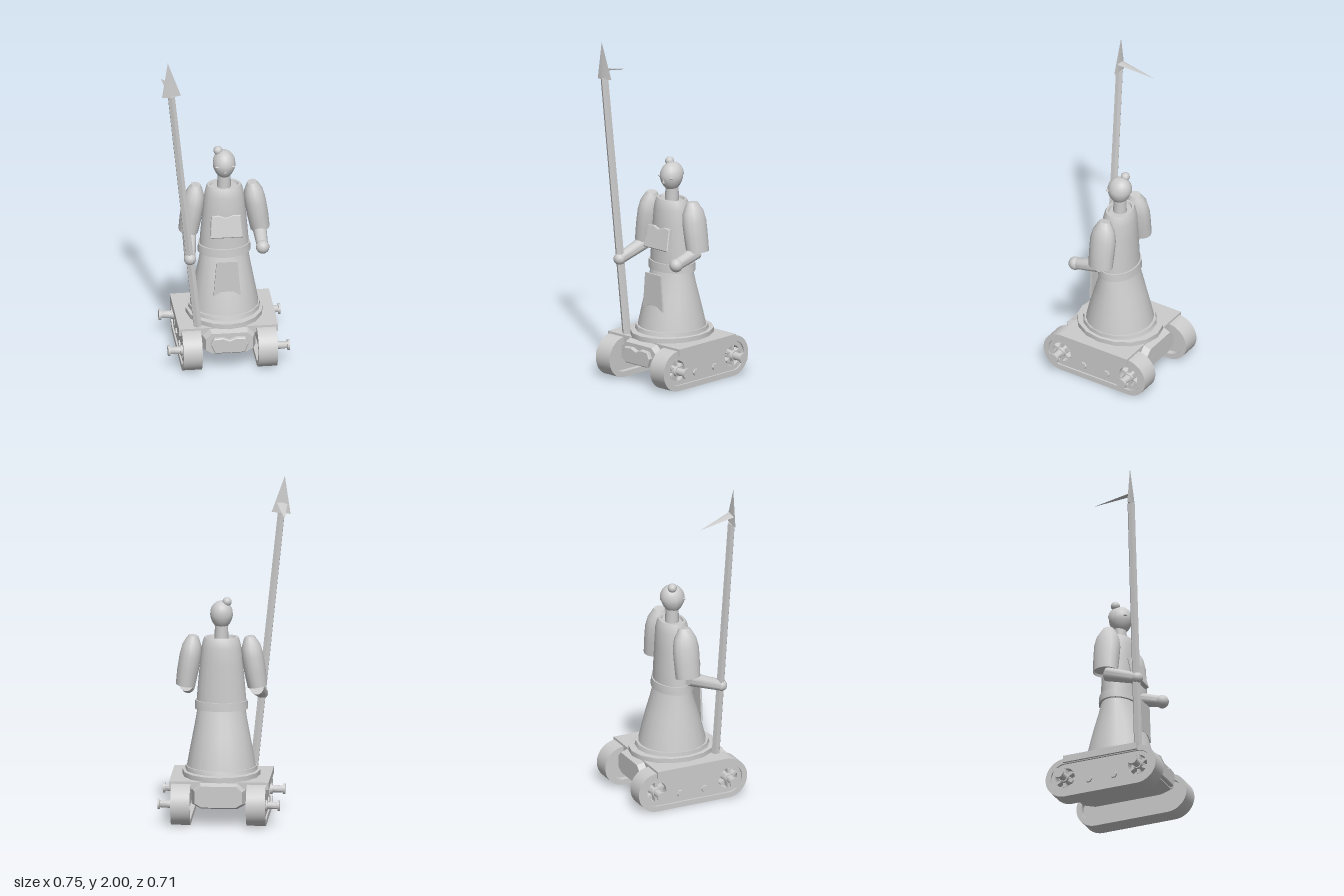
import * as THREE from 'three';
import { toCreasedNormals } from 'three/addons/utils/BufferGeometryUtils.js';

const V = (x, y, z) => new THREE.Vector3(x, y, z);

export function createModel() {
  const model = new THREE.Group();
  const stone = new THREE.MeshStandardMaterial({ color: 0xcccccc });
  stone.name = 'pale grey';

  const add = (parent, name, geo, x = 0, y = 0, z = 0) => {
    const m = new THREE.Mesh(geo, stone);
    m.name = name;
    m.position.set(x, y, z);
    parent.add(m);
    return m;
  };

  // elliptical body from rings of [y, half width, half depth]
  const loft = (rings, n = 20) => {
    const g = new THREE.LatheGeometry(rings.map(r => new THREE.Vector2(r[1], r[0])), n);
    const p = g.attributes.position;
    for (let i = 0; i < p.count; i++) {
      const r = rings[i % rings.length];
      if (r[1] > 0) p.setZ(i, p.getZ(i) * r[2] / r[1]);
    }
    return toCreasedNormals(g, 0.6);
  };

  // tapered rod between two points, optionally flattened
  const rod = (parent, name, a, b, r0, r1, n = 16, flatX = 1, flatZ = 1) => {
    const g = new THREE.CylinderGeometry(r1, r0, a.distanceTo(b), n);
    g.scale(flatX, 1, flatZ);
    const m = add(parent, name, toCreasedNormals(g, 0.8));
    m.position.copy(a).lerp(b, 0.5);
    m.quaternion.setFromUnitVectors(V(0, 1, 0), b.clone().sub(a).normalize());
    return m;
  };

  const plate = (pts, depth, bevel = 0) => new THREE.ExtrudeGeometry(
    new THREE.Shape(pts.map(p => new THREE.Vector2(...p))),
    { depth, bevelEnabled: bevel > 0, bevelSize: bevel, bevelThickness: bevel, bevelSegments: 1 });

  const stadium = (half, r, T = THREE.Shape) => {
    const s = new T();
    s.absarc(half, 0, r, -Math.PI / 2, Math.PI / 2);
    s.absarc(-half, 0, r, Math.PI / 2, Math.PI * 1.5);
    s.closePath();
    return s;
  };
  const extrudeX = (shape, depth) => {
    const g = new THREE.ExtrudeGeometry(shape, { depth, bevelEnabled: false, curveSegments: 16 });
    g.translate(0, 0, -depth / 2).rotateY(Math.PI / 2);
    return toCreasedNormals(g, 0.6);
  };

  // everything but the spear is symmetric about this group's centre
  const body = new THREE.Group();
  body.name = 'figureAndCarriage';
  body.position.x = 0.03;
  model.add(body);

  // tracks
  const R = 0.122, reach = 0.232;
  for (const s of [1, -1]) {
    const track = new THREE.Group();
    track.name = s > 0 ? 'leftTrack' : 'rightTrack';
    track.position.set(s * 0.222, R, 0);
    body.add(track);
    const belt = stadium(reach, R);
    belt.holes.push(stadium(reach, R - 0.033, THREE.Path));
    add(track, 'belt', extrudeX(belt, 0.113));
    const panel = stadium(reach, R - 0.034);
    for (const z of [-reach, reach]) {
      const hole = new THREE.Path();
      hole.absarc(z, 0, 0.062, 0, Math.PI * 2);
      panel.holes.push(hole);
    }
    add(track, 'sidePanel', extrudeX(panel, 0.05), s * 0.022);
    add(track, 'backPanel', extrudeX(stadium(reach, R - 0.034), 0.03), -s * 0.012);
    for (const z of [-0.237, 0.237]) {
      // spoked wheel with a spool shaped axle end
      for (let i = 0; i < 3; i++) {
        const spoke = add(track, 'spoke', new THREE.BoxGeometry(0.04, 0.12, 0.016), s * 0.028, 0, z);
        spoke.rotation.x = i * Math.PI / 3;
      }
      rod(track, 'hub', V(s * 0.01, 0, z), V(s * 0.064, 0, z), 0.036, 0.03, 12);
      rod(track, 'axle', V(s * 0.06, 0, z), V(s * 0.126, 0, z), 0.024, 0.02, 12);
      rod(track, 'axleCap', V(s * 0.124, 0, z), V(s * 0.137, 0, z), 0.032, 0.032, 12);
    }
    for (const z of [-0.08, 0.08])
      rod(track, 'rollerBolt', V(s * 0.04, -0.037, z), V(s * 0.056, -0.037, z), 0.024, 0.02, 6);
  }

  // hull with chamfered ends
  const hull = plate([[-0.14, 0.135], [-0.1, 0.112], [0.1, 0.112], [0.14, 0.135],
    [0.14, 0.205], [0.105, 0.238], [-0.105, 0.238], [-0.14, 0.205]], 0.41);
  const hp = hull.attributes.position;
  hull.dispose();
  const hullGeo = new THREE.ExtrudeGeometry(new THREE.Shape([[-0.14, 0.135], [-0.1, 0.112], [0.1, 0.112],
    [0.14, 0.135], [0.14, 0.205], [0.105, 0.238], [-0.105, 0.238], [-0.14, 0.205]].map(p => new THREE.Vector2(...p))),
  { depth: 0.41, bevelThickness: 0.077, bevelSize: 0.022, bevelSegments: 1 });
  add(body, 'hull', hullGeo, 0, 0, -0.205);
  add(body, 'deck', new THREE.BoxGeometry(0.585, 0.042, 0.474), 0, 0.236, 0);
  add(body, 'frontPlaque', plate([[-0.085, 0.125], [0.085, 0.125], [0.105, 0.175], [0.09, 0.208],
    [0.04, 0.212], [0, 0.195], [-0.04, 0.212], [-0.09, 0.208], [-0.105, 0.175]], 0.02, 0.006), 0, 0, 0.28);

  // robe
  add(body, 'pedestal', loft([[0.255, 0, 0], [0.255, 0.228, 0.263], [0.285, 0.228, 0.263],
    [0.288, 0.212, 0.222], [0.312, 0.21, 0.215], [0.312, 0, 0]], 16));
  add(body, 'skirt', loft([[0.285, 0.207, 0.205], [0.31, 0.203, 0.2], [0.4, 0.187, 0.178],
    [0.5, 0.168, 0.15], [0.58, 0.153, 0.124], [0.66, 0.14, 0.102]]));
  add(body, 'belt', loft([[0.652, 0.13, 0.09], [0.652, 0.157, 0.118], [0.702, 0.154, 0.114], [0.702, 0.13, 0.09]]));
  add(body, 'torso', loft([[0.69, 0.147, 0.106], [0.8, 0.138, 0.102], [0.92, 0.127, 0.098], [1.02, 0.117, 0.094],
    [1.06, 0.108, 0.085], [1.08, 0.1, 0.075], [1.08, 0.086, 0.062], [1.066, 0.08, 0.057], [1.066, 0, 0]]));
  add(body, 'apron', plate([[-0.08, 0.425], [-0.035, 0.452], [0.035, 0.452], [0.08, 0.425],
    [0.062, 0.645], [-0.062, 0.645]], 0.012), 0, 0, 0.151);
  const chest = add(body, 'chestPlate', plate([[-0.093, -0.062], [0.093, -0.062], [0.082, 0.062], [0.045, 0.066],
    [0, 0.05], [-0.045, 0.066], [-0.082, 0.062]], 0.018, 0.005), 0, 0.852, 0.105);
  chest.rotation.x = -0.24;

  // arms
  for (const s of [1, -1]) {
    const sleeve = add(body, s > 0 ? 'leftSleeve' : 'rightSleeve', loft([[-0.135, 0, 0], [-0.135, 0.05, 0.07],
      [-0.15, 0.058, 0.076], [-0.06, 0.064, 0.079], [0.03, 0.064, 0.08], [0.09, 0.057, 0.068],
      [0.125, 0.042, 0.048], [0.15, 0.028, 0.034], [0.15, 0, 0]], 14), s * 0.188, 0.937, 0);
    sleeve.rotation.z = s * 0.158;
    const elbow = V(s * 0.207, s > 0 ? 0.79 : 0.775, 0.01);
    const hand = s > 0 ? V(0.208, 0.742, 0.178) : V(-0.225, 0.703, 0.21);
    rod(body, 'forearm', elbow, hand, 0.042, 0.033, 14);
    add(body, 'hand', new THREE.SphereGeometry(s > 0 ? 0.04 : 0.036, 16, 12), hand.x, hand.y, hand.z);
  }

  // head with a narrower chin
  rod(body, 'neck', V(0, 1.05, 0), V(0, 1.15, 0), 0.041, 0.039, 16);
  const skull = new THREE.SphereGeometry(1, 24, 18);
  const sp = skull.attributes.position;
  for (let i = 0; i < sp.count; i++) {
    const k = 1 - 0.16 * Math.max(0, -sp.getY(i));
    sp.setXYZ(i, sp.getX(i) * k * 0.067, sp.getY(i) * 0.085, sp.getZ(i) * k * 0.071);
  }
  skull.computeVertexNormals();
  add(body, 'head', skull, 0, 1.21, 0.005);
  const hair = new THREE.SphereGeometry(1, 24, 10, 0, Math.PI * 2, 0, 1.25);
  hair.scale(0.069, 0.085, 0.073);
  add(body, 'hair', hair, 0, 1.213, 0.003).rotation.x = -0.45;
  add(body, 'topknot', new THREE.SphereGeometry(0.027, 16, 12), -0.034, 1.293, -0.015);
  for (const s of [1, -1]) {
    const eye = add(body, 'eye', new THREE.SphereGeometry(0.012, 10, 8), s * 0.045, 1.216, 0.054);
    eye.scale.set(1.2, 0.5, 0.9);
  }
  rod(body, 'nose', V(0, 1.182, 0.07), V(0, 1.206, 0.073), 0.009, 0.003, 4);

  // spear
  const spear = new THREE.Group();
  spear.name = 'spear';
  model.add(spear);
  const top = V(-0.307, 1.785, 0.222);
  rod(spear, 'shaft', V(-0.147, 0.24, 0.197), top, 0.026, 0.023, 6);
  rod(spear, 'spearHead', V(-0.306, 1.78, 0.222), V(-0.328, 2, 0.224), 0.056, 0.0005, 4, 1, 0.2);
  rod(spear, 'sideBlade', V(-0.312, 1.838, 0.222), V(-0.342, 1.79, 0), 0.032, 0.0005, 4, 1, 0.25);
  return model;
}
